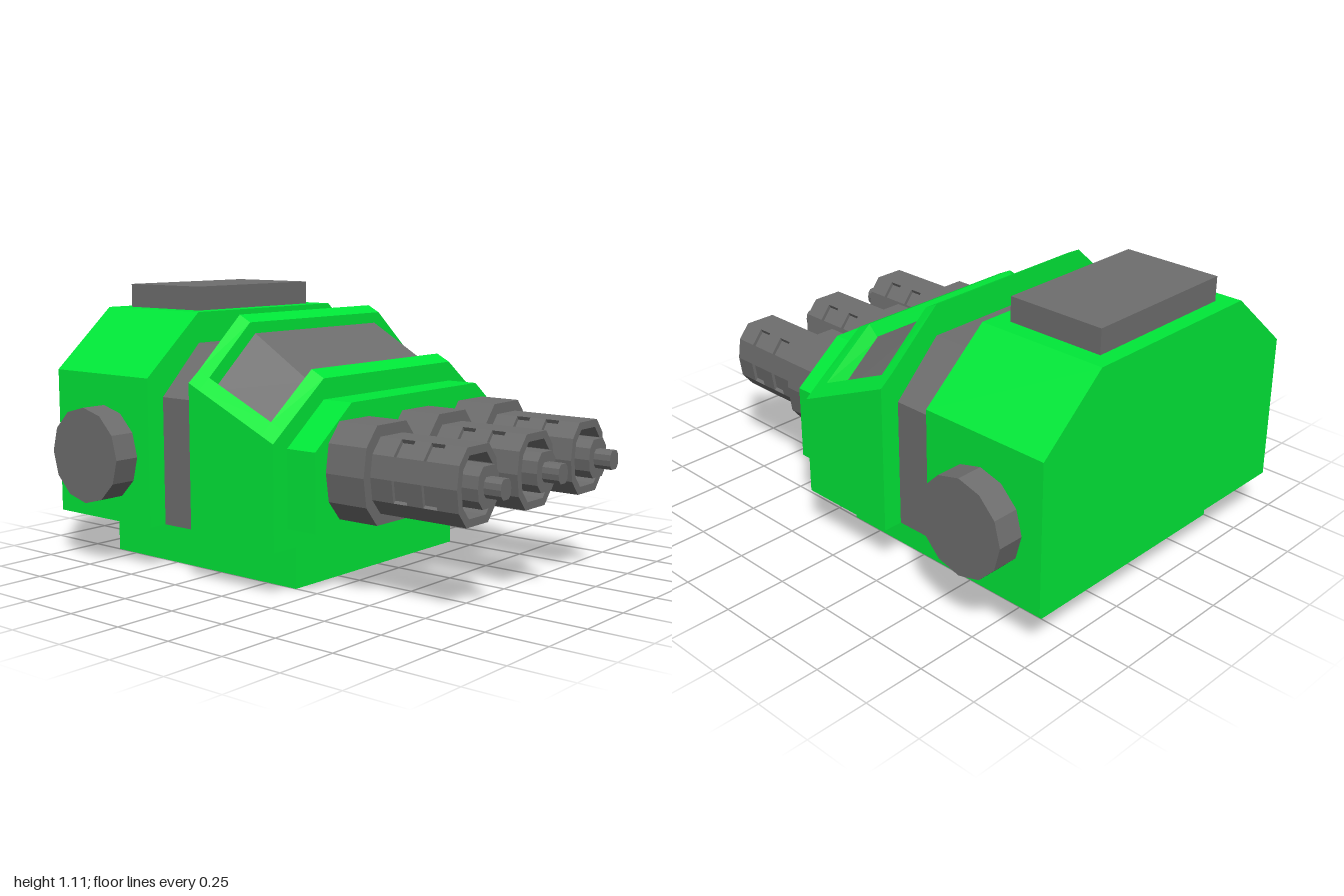
import * as THREE from 'three';

const green = new THREE.MeshStandardMaterial({ color: 0x00e838, flatShading: true });
const darkGrey = new THREE.MeshStandardMaterial({ color: 0x6e6e6e, flatShading: true });

function part(parent, name, geometry, material) {
  const mesh = new THREE.Mesh(geometry, material);
  mesh.name = name;
  parent.add(mesh);
  return mesh;
}

// Straight prism along z from a list of [x, y] corners
function prism(points, z0, z1) {
  const shape = new THREE.Shape(points.map(([x, y]) => new THREE.Vector2(x, y)));
  return new THREE.ExtrudeGeometry(shape, { depth: z1 - z0, bevelEnabled: false }).translate(0, 0, z0);
}

function box(x0, x1, y0, y1, z0, z1) {
  return new THREE.BoxGeometry(x1 - x0, y1 - y0, z1 - z0)
    .translate((x0 + x1) / 2, (y0 + y1) / 2, (z0 + z1) / 2);
}

// Complete a right-hand half profile (bottom to top) with its mirror image
const mirror = (half) => [...half, ...half.map(([x, ...rest]) => [-x, ...rest]).reverse()];

// House-shaped section: upright sides, sloped shoulders, flat roof
const hull = (w, bottom, side, top) => mirror([[w, bottom], [w, side], [0.4, top]]);

// Closed skin through rings of [x, y, z], ordered front to back, with end caps
function loft(rings) {
  const positions = [];
  const tri = (...corners) => {
    const v = corners.map((c) => new THREE.Vector3(...c));
    if (new THREE.Triangle(...v).getArea() > 1e-7) positions.push(...corners.flat());
  };
  const n = rings[0].length;
  for (let i = 0; i < rings.length - 1; i++) {
    const a = rings[i], b = rings[i + 1];
    for (let j = 0; j < n; j++) {
      const k = (j + 1) % n;
      tri(a[j], b[j], b[k]);
      tri(a[j], b[k], a[k]);
    }
  }
  const front = rings[0], back = rings[rings.length - 1];
  for (let j = 1; j < n - 1; j++) {
    tri(front[0], front[j], front[j + 1]);
    tri(back[0], back[j + 1], back[j]);
  }
  const geometry = new THREE.BufferGeometry();
  geometry.setAttribute('position', new THREE.Float32BufferAttribute(positions, 3));
  geometry.computeVertexNormals();
  return geometry;
}

// Sloping heights of the cab's shoulder and roof
const shoulder = (z) => 0.58 + (0.2 - z) * 0.442;
const roof = (z) => 0.794 + (0.2 - z) * 0.509;

// Lower and upper edge of the window pane at z, lowered by drop
const paneSide = (z, drop) => [0.613 + z * 0.05, 0.575 + (0.12 - z) * 0.55 - drop, z];
const paneTop = (z, drop) => [0.378 + z * 0.04, 0.77 + (0.12 - z) * 0.58 - drop, z];

// Cab ring: full section, or with the window area sunk (floor at floorZ)
function cabRing(z, floorZ = null) {
  const sunk = floorZ !== null;
  const rim = [0.625, shoulder(z) + 0.043, z];
  return mirror([
    [0.68, 0.18, z],
    [0.68, shoulder(z), z],
    rim,
    sunk ? paneSide(floorZ, 0.01) : rim,
    sunk ? paneTop(floorZ, 0.01) : [0.4, roof(z), z],
  ]);
}

const paneRing = (z) => mirror([paneSide(z, 0.02), paneSide(z, 0), paneTop(z, 0)]);

// Ten-sided barrel section, starting at the right end of the top face, clockwise
const rightSide = [[0.085, 0.182], [0.146, 0.108], [0.162, 0], [0.146, -0.108], [0.085, -0.182]];
const decagon = [...rightSide, ...rightSide.map(([x, y]) => [-x, -y])];
const ring = (s) => decagon.map(([x, y]) => [x * s, y * s]);

function makeBarrel() {
  const barrel = new THREE.Group();
  barrel.name = 'barrel';
  part(barrel, 'barrelCollar', prism(ring(1), 0.33, 0.51), darkGrey);
  part(barrel, 'barrelCore', prism(ring(0.41), 0.51, 0.93), darkGrey);
  part(barrel, 'barrelTip', prism(ring(0.2), 0.93, 1), darkGrey);

  // Hollow sleeve: every second side has two sunken vent slots
  const inner = ring(0.61);
  const plain = [[0.51, 0.885, 0.77]];
  const slotted = [
    [0.51, 0.605, 0.77], [0.605, 0.665, 0.69], [0.665, 0.735, 0.77],
    [0.735, 0.795, 0.69], [0.795, 0.885, 0.77],
  ];
  for (let i = 0; i < 10; i++) {
    const k = (i + 1) % 10;
    for (const [z0, z1, scale] of i % 2 === 0 ? slotted : plain) {
      const outer = ring(scale);
      part(barrel, 'barrelSleeve', prism([outer[i], outer[k], inner[k], inner[i]], z0, z1), darkGrey);
    }
  }
  return barrel;
}

export function createModel() {
  const model = new THREE.Group();
  model.name = 'turret';

  // Body, from the bottom and the back forwards
  part(model, 'base', box(-0.5, 0.5, 0, 0.182, -0.855, 0.145), green);
  part(model, 'rearHull', prism(hull(0.68, 0.18, 0.77, 1.013), -1, -0.46), green);
  part(model, 'roofHatch', box(-0.33, 0.33, 1.01, 1.11, -0.935, -0.53), darkGrey);
  part(model, 'neck', prism(hull(0.6, 0.18, 0.69, 0.89), -0.46, -0.23), darkGrey);

  // Cab with a window sunk into its roof and shoulders
  part(model, 'cab', loft([
    cabRing(0.2), cabRing(0.14), cabRing(0.14, 0.11),
    cabRing(-0.175, -0.175), cabRing(-0.175), cabRing(-0.23),
  ]), green);
  part(model, 'window', loft([paneRing(0.115), paneRing(-0.175)]), darkGrey);
  part(model, 'gunPlate', prism(hull(0.605, 0.257, 0.555, 0.715), 0.2, 0.335), green);

  // Drums on both sides of the rear hull
  for (const side of [-1, 1]) {
    const drum = part(model, side > 0 ? 'leftDrum' : 'rightDrum',
      new THREE.CylinderGeometry(0.192, 0.192, 0.107, 12).rotateZ(Math.PI / 2), darkGrey);
    drum.position.set(side * 0.733, 0.453, -0.72);
  }

  // Three barrels
  for (const x of [-0.385, -0.01, 0.365]) {
    const barrel = makeBarrel();
    barrel.position.set(x, 0.472, 0);
    model.add(barrel);
  }
  return model;
}
